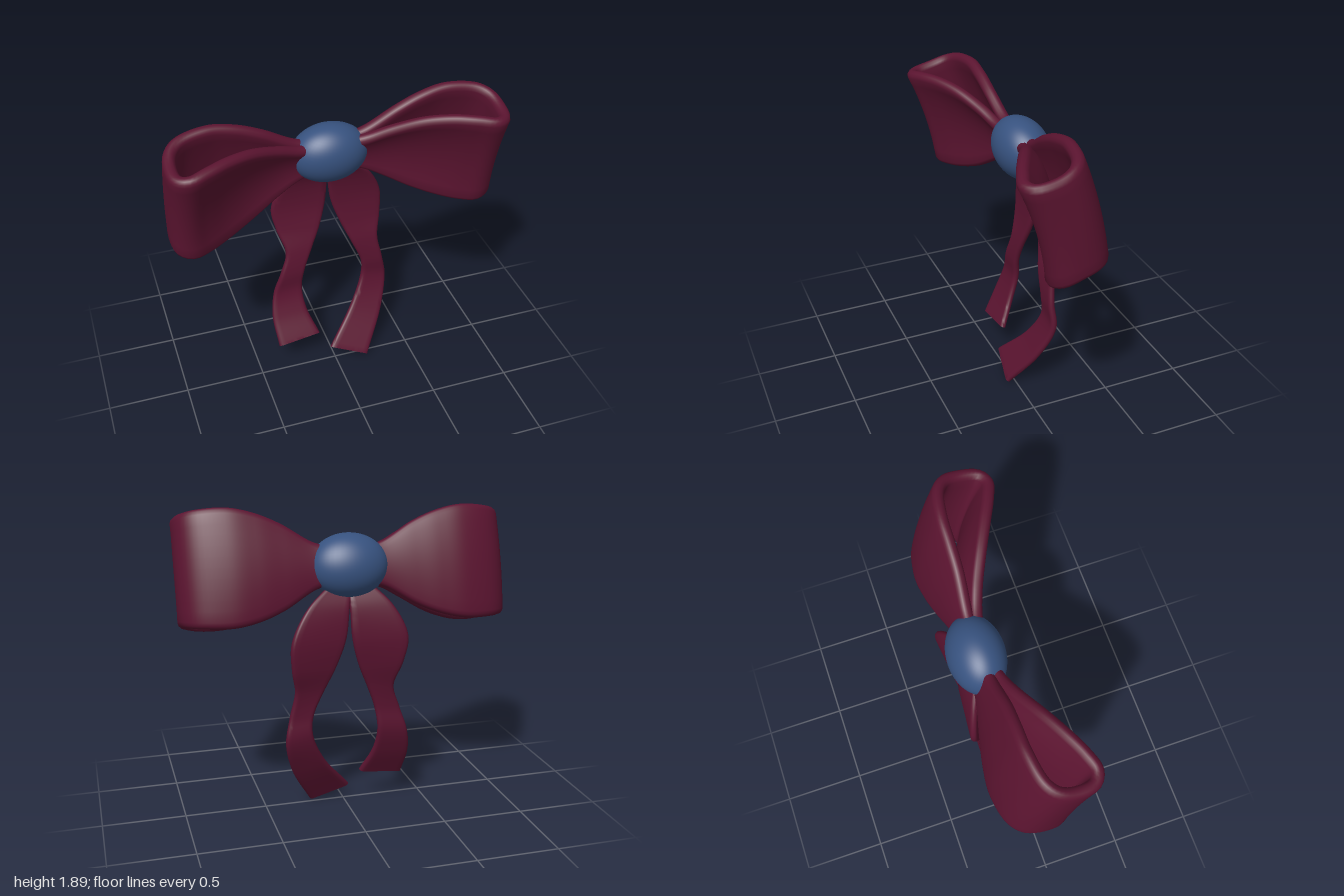
import * as THREE from 'three';
import { toCreasedNormals } from 'three/addons/utils/BufferGeometryUtils.js';

const V = (x, y, z) => new THREE.Vector3(x, y, z);
const curve = (pts) => new THREE.CatmullRomCurve3(pts.map((p) => V(...p)));

// Half section of the ribbon: flat side (w from 1 to -1) and rounded edges,
// as [w, edge, n]: position = w * (halfWidth - r) + edge * r across, n * r along the normal
function ribbonSection(flat = 10, round = 6) {
  const pts = [];
  for (const s of [1, -1]) {
    for (let i = 0; i < flat; i++) pts.push([s * (1 - (2 * i) / flat), 0, s]);
    for (let i = 0; i < round; i++) {
      const a = (Math.PI * i) / round;
      pts.push([-s, -s * Math.sin(a), s * Math.cos(a)]);
    }
  }
  return pts;
}

// Sweeps the section; frame(t) gives centre c, half-width vector a and cup depth
function sweepRibbon(frame, steps, r) {
  const section = ribbonSection();
  const m = section.length;
  const pos = [], index = [];
  for (let i = 0; i <= steps; i++) {
    const t = i / steps;
    const { c, a, cup } = frame(t);
    const tangent = frame(Math.min(1, t + 0.005)).c.sub(frame(Math.max(0, t - 0.005)).c);
    const n = tangent.cross(a).normalize();
    const half = a.length();
    const across = a.clone().normalize();
    for (const [w, edge, side] of section) {
      const p = c.clone()
        .addScaledVector(across, w * (half - r) + edge * r)
        .addScaledVector(n, side * r + cup * (1 - w * w));
      pos.push(p.x, p.y, p.z);
    }
  }
  for (let i = 0; i < steps; i++) {
    for (let j = 0; j < m; j++) {
      const k = (j + 1) % m;
      const p = i * m + j, q = i * m + k;
      index.push(p, q, p + m, q, q + m, p + m);
    }
  }
  // End caps
  const last = steps * m;
  for (let j = 1; j < m - 1; j++) {
    index.push(0, j + 1, j, last, last + j, last + j + 1);
  }
  const geo = new THREE.BufferGeometry();
  geo.setAttribute('position', new THREE.Float32BufferAttribute(pos, 3));
  geo.setIndex(index);
  return toCreasedNormals(geo, 1.0);
}

// Bow loop: path points are [x, half height, z], front to back;
// the front layer is cupped inwards, the back layer bulges outwards
function loopGeometry(s) {
  const path = curve([
    [0.08, 0.11, 0.025], [0.2, 0.135, 0.045], [0.33, 0.2, 0.075], [0.5, 0.285, 0.135],
    [0.65, 0.33, 0.2], [0.78, 0.345, 0.26], [0.88, 0.34, 0.293], [0.94, 0.328, 0.26],
    [0.957, 0.318, 0.14], [0.935, 0.325, 0.05], [0.87, 0.335, -0.008], [0.7, 0.34, -0.045],
    [0.55, 0.31, -0.04], [0.4, 0.25, -0.025], [0.2, 0.135, -0.012], [0.08, 0.11, -0.015],
  ]);
  return sweepRibbon((t) => {
    const p = path.getPointAt(t);
    const depth = t < 0.5 ? 0.05 : 0.025;
    return {
      c: V(s * p.x, s * p.x * 0.024, p.z),
      a: V(0, p.y, 0),
      cup: -s * depth * Math.sin(2 * Math.PI * t),
    };
  }, 90, 0.036);
}

// Hanging tail: swept between its two edge curves
function tailGeometry(leftEdge, rightEdge) {
  const l = curve(leftEdge), r = curve(rightEdge);
  return sweepRibbon((t) => {
    const p = l.getPoint(t), q = r.getPoint(t);
    return { c: p.clone().add(q).multiplyScalar(0.5), a: q.sub(p).multiplyScalar(0.5), cup: 0 };
  }, 70, 0.02);
}

export function createModel() {
  const model = new THREE.Group();
  model.name = 'ribbonBow';
  const ribbon = new THREE.MeshStandardMaterial({ color: 0x5b1430 });
  const blue = new THREE.MeshStandardMaterial({ color: 0x37527f });
  const add = (parent, name, geo, mat) => {
    const mesh = new THREE.Mesh(geo, mat);
    mesh.name = name;
    parent.add(mesh);
    return mesh;
  };

  // Knot and loops lean forward together
  const bow = new THREE.Group();
  bow.name = 'bow';
  bow.position.set(0, 1.535, -0.12);
  bow.rotation.x = THREE.MathUtils.degToRad(16);
  model.add(bow);
  add(bow, 'knot', new THREE.SphereGeometry(1, 48, 32), blue).scale.set(0.235, 0.19, 0.163);
  for (const s of [1, -1]) add(bow, s > 0 ? 'leftLoop' : 'rightLoop', loopGeometry(s), ribbon);

  // Tails
  add(model, 'rightTail', tailGeometry(
    [[-0.1, 1.45, -0.14], [-0.25, 1.3, -0.215], [-0.332, 1.12, -0.25], [-0.31, 0.96, -0.235],
      [-0.265, 0.8, -0.19], [-0.31, 0.65, -0.17], [-0.36, 0.5, -0.175], [-0.384, 0.35, -0.13], [-0.37, 0.17, -0.04]],
    [[0.02, 1.43, -0.14], [0.015, 1.3, -0.2], [0.005, 1.12, -0.22], [-0.035, 0.96, -0.205],
      [-0.1, 0.8, -0.18], [-0.15, 0.66, -0.17], [-0.17, 0.52, -0.175], [-0.155, 0.37, -0.13], [-0.093, 0.205, -0.05]],
  ), ribbon);
  add(model, 'leftTail', tailGeometry(
    [[-0.02, 1.43, -0.14], [0.015, 1.3, -0.2], [0.042, 1.12, -0.22], [0.1, 0.95, -0.205],
      [0.17, 0.79, -0.175], [0.23, 0.64, -0.17], [0.235, 0.52, -0.175], [0.15, 0.33, -0.12], [-0.033, 0.1, 0.0]],
    [[0.1, 1.45, -0.14], [0.28, 1.3, -0.215], [0.375, 1.12, -0.25], [0.373, 0.95, -0.235],
      [0.347, 0.8, -0.19], [0.377, 0.64, -0.17], [0.403, 0.48, -0.175], [0.347, 0.26, -0.09], [0.21, 0.007, 0.045]],
  ), ribbon);

  return model;
}
